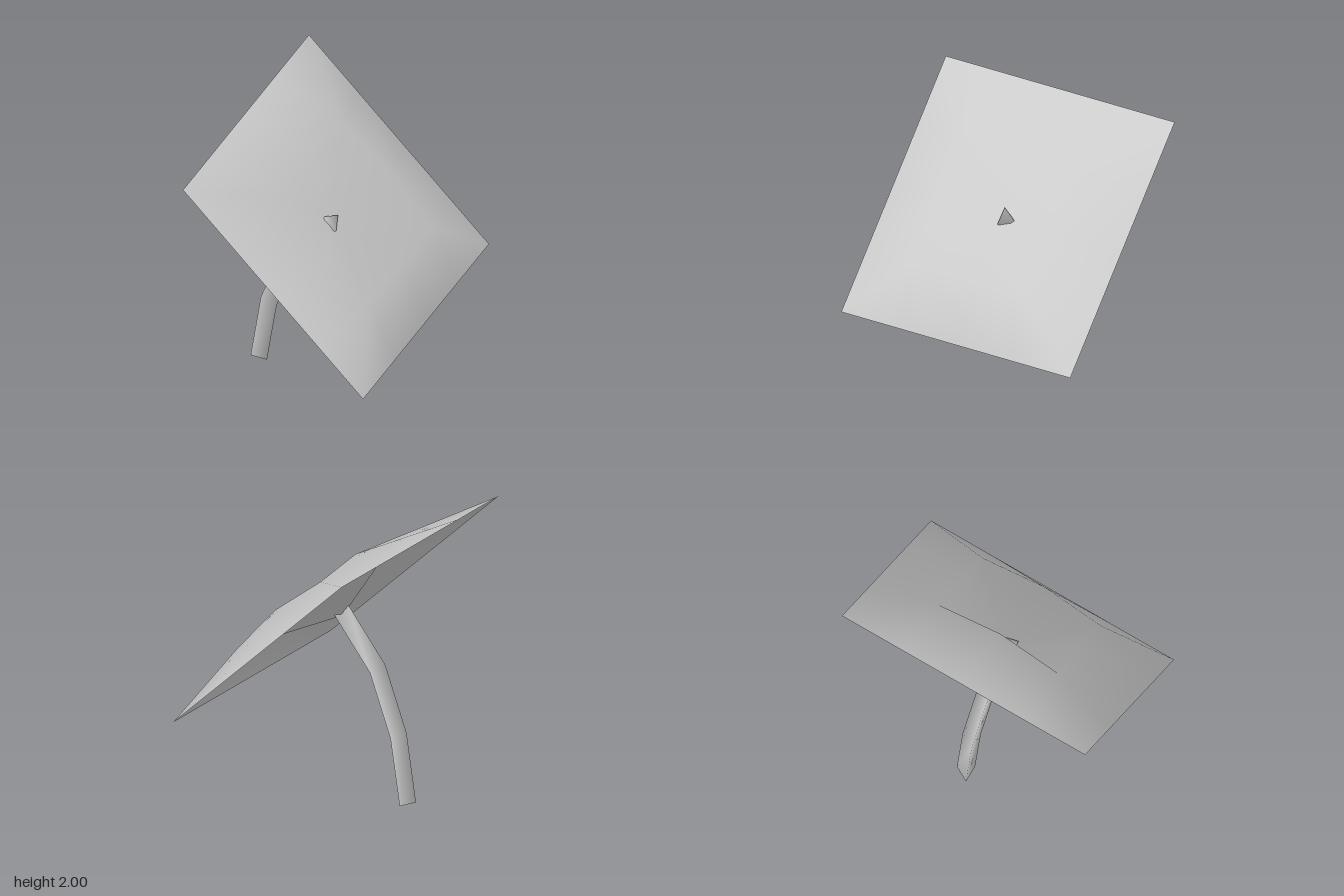
import * as THREE from 'three';

const V = (x, y, z) => new THREE.Vector3(x, y, z);

// Panel frame: local x runs down the slope, y is the panel normal, z runs sideways
const normal = V(0.716, 0.697, 0.04).normalize();
const panelFrame = new THREE.Matrix4()
  .makeBasis(V(0.697, -0.716, -0.0375).normalize(), normal, V(-0.005, -0.053, 0.998).normalize())
  .setPosition(-0.005, 1.28, 0);

function makeGeometry(points, index) {
  const g = new THREE.BufferGeometry().setFromPoints(points);
  g.setIndex(index);
  g.computeVertexNormals();
  return g;
}

// Square sheet of 4 x 4 cells: flat rim, raised ring, and a middle dented down to the pole
function sheetGeometry() {
  const across = [-0.937, -0.46, 0, 0.46, 0.937];
  const slope = [-0.932, -0.41, 0.05, 0.51, 0.932];
  const points = [], index = [];
  for (let i = 0; i < 5; i++)
    for (let j = 0; j < 5; j++) {
      const a = Math.abs(i - 2), b = Math.abs(j - 2);
      if (a + b === 0) points.push(V(0, -0.06, 0.02));
      else points.push(V(slope[i], Math.max(a, b) === 2 ? 0 : a + b === 2 ? 0.163 : 0.205, across[j]));
    }
  for (let i = 0; i < 4; i++)
    for (let j = 0; j < 4; j++) {
      const a = i * 5 + j, b = a + 5, c = a + 6, d = a + 1;
      // Diagonals run from the corners towards the middle
      if ((i < 2) === (j < 2)) index.push(a, d, c, a, c, b);
      else index.push(a, d, b, d, c, b);
    }
  return makeGeometry(points, index);
}

// Bent three-sided pole with closed ends
function poleGeometry() {
  const path = [V(-0.56, 0, -0.001), V(-0.485, 0.48, 0.001), V(-0.315, 0.915, 0.012), V(-0.013, 1.265, 0.028)];
  const radius = 0.07, last = path.length - 1;
  const points = [], index = [];
  path.forEach((p, k) => {
    let t;
    if (k === 0) t = V(0, 1, 0);
    else if (k === last) t = normal.clone();
    else {
      const before = p.clone().sub(path[k - 1]).normalize();
      t = path[k + 1].clone().sub(p).normalize().add(before).normalize();
    }
    const side = t.clone().cross(V(0, 0, 1)).normalize();
    const depth = side.clone().cross(t);
    for (const [s, d] of [[0, -1], [-0.866, 0.5], [0.866, 0.5]])
      points.push(p.clone().addScaledVector(side, s * radius).addScaledVector(depth, d * radius));
  });
  for (let k = 0; k < last; k++)
    for (let i = 0; i < 3; i++) {
      const a = k * 3 + i, b = k * 3 + (i + 1) % 3;
      index.push(a, b, b + 3, a, b + 3, a + 3);
    }
  index.push(0, 2, 1, last * 3, last * 3 + 1, last * 3 + 2);
  return makeGeometry(points, index);
}

export function createModel() {
  const group = new THREE.Group();
  const add = (name, geometry, side) => {
    const mesh = new THREE.Mesh(geometry, new THREE.MeshStandardMaterial({ color: 0xcccccc, side }));
    mesh.name = name;
    group.add(mesh);
  };
  add('panelSheet', sheetGeometry().applyMatrix4(panelFrame), THREE.DoubleSide);
  add('pole', poleGeometry(), THREE.FrontSide);
  return group;
}
